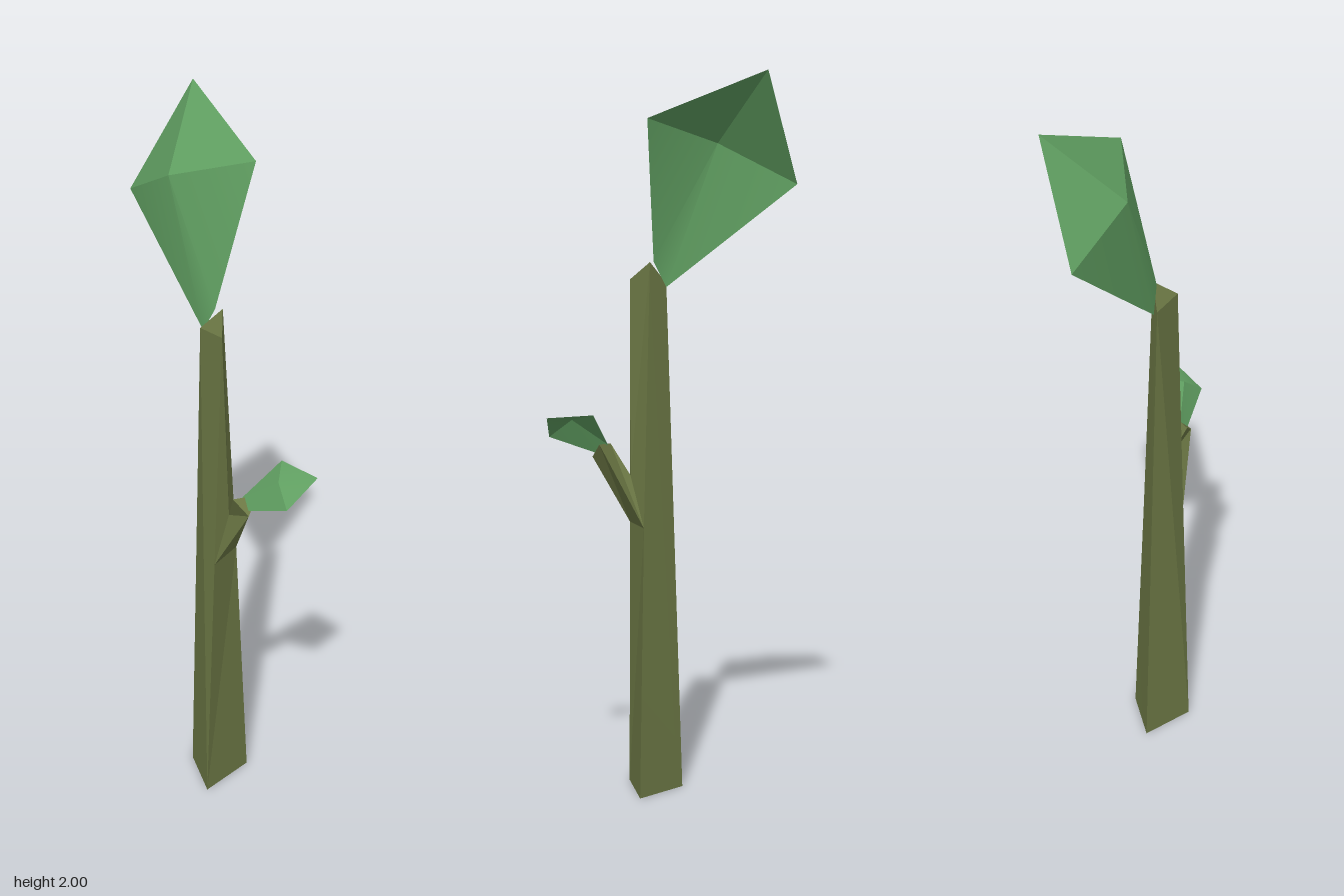
import * as THREE from 'three';
import { toCreasedNormals } from 'three/addons/utils/BufferGeometryUtils.js';

// Faceted mesh from corner points and polygons (each polygon is a fan from its first corner)
function faceted(name, points, polygons, material, crease) {
  const index = [];
  for (const p of polygons) {
    for (let i = 1; i < p.length - 1; i++) index.push(p[0], p[i], p[i + 1]);
  }
  const geometry = new THREE.BufferGeometry();
  geometry.setAttribute('position', new THREE.Float32BufferAttribute(points.flat(), 3));
  geometry.setIndex(index);
  const mesh = new THREE.Mesh(toCreasedNormals(geometry, crease), material);
  mesh.name = name;
  return mesh;
}

// Folded leaf: an outline of corners fanned around one raised fold point
function leaf(name, outline, fold, material) {
  const n = outline.length;
  const triangles = outline.map((_, i) => [i, (i + 1) % n, n]);
  return faceted(name, [...outline, fold], triangles, material, 0.55);
}

export function createModel() {
  const bark = new THREE.MeshStandardMaterial({ color: 0x6b7744 });
  bark.name = 'olive bark';
  const green = new THREE.MeshStandardMaterial({ color: 0x5f9d60, side: THREE.DoubleSide });
  green.name = 'leaf green';

  const group = new THREE.Group();
  group.name = 'sapling';

  // Opening on the right side of the trunk where the branch grows out
  const joint = [[0.117, 0.76, 0.091], [0.078, 0.76, -0.015], [0.115, 0.9, 0.04]];

  // Three-sided tapering trunk with a slanted top
  group.add(faceted('trunk', [
    [-0.03, 0, 0.06], [0.12, 0, 0.12], [0.09, 0, -0.05],
    [0.015, 1.43, 0.06], [0.115, 1.44, 0.065], [0.06, 1.49, 0.02],
    ...joint,
  ], [
    [0, 2, 1], [3, 4, 5],               // bottom and top
    [3, 0, 1, 6, 4],                    // front
    [0, 3, 5, 7, 2],                    // back
    [1, 2, 7, 6], [6, 8, 4], [8, 7, 5, 4], // right side around the joint
  ], bark, 0.1));

  // Short three-sided branch
  group.add(faceted('branch', [
    ...joint,
    [0.22, 0.95, 0.055], [0.2, 0.99, 0.01], [0.17, 0.985, 0.07],
  ], [
    [0, 1, 4, 3], [1, 2, 5, 4], [2, 0, 3, 5], [3, 4, 5],
  ], bark, 0.1));

  // Large leaf on the trunk, small leaf on the branch
  group.add(leaf('largeLeaf', [
    [0.015, 1.42, 0.05], [0.05, 1.49, 0.038], [0.067, 1.875, -0.08],
    [-0.25, 2, -0.12], [-0.34, 1.7, 0.025],
  ], [-0.125, 1.81, 0.055], green));
  group.add(leaf('smallLeaf', [
    [0.207, 0.96, 0.05], [0.338, 1.01, 0.022], [0.34, 1.075, -0.08],
    [0.215, 1.08, -0.06], [0.177, 0.985, 0.043],
  ], [0.275, 1.06, 0], green));

  return group;
}
